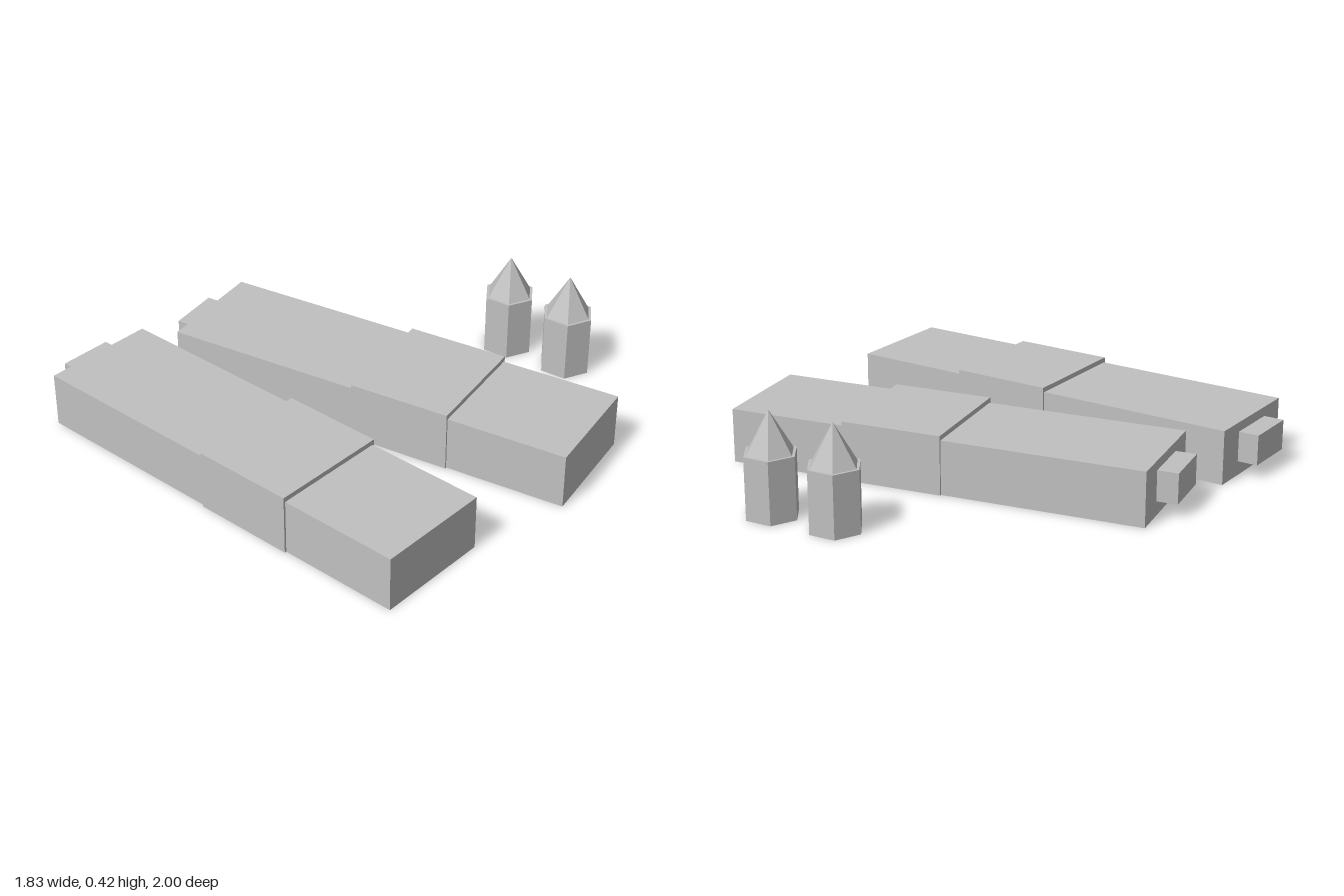
import * as THREE from 'three';

const grey = new THREE.MeshStandardMaterial({ color: 0xc0c0c0, flatShading: true });
grey.name = 'plain grey';

function addPart(parent, name, geometry, x, y, z) {
  const mesh = new THREE.Mesh(geometry, grey);
  mesh.name = name;
  mesh.position.set(x, y, z);
  parent.add(mesh);
}

// Long block with a raised band around it and a tab on its back end
function makeBlock(name, x, z, turn) {
  const block = new THREE.Group();
  block.name = name;
  const length = 1.75;
  addPart(block, 'body', new THREE.BoxGeometry(0.476, 0.225, length), 0, 0.1125, 0);
  addPart(block, 'band', new THREE.BoxGeometry(0.492, 0.245, 0.422), 0, 0.1225, 0.168);
  addPart(block, 'backTab', new THREE.BoxGeometry(0.222, 0.125, 0.085), 0, 0.1225, -length / 2 - 0.0425);
  block.position.set(x, 0, z);
  block.rotation.y = turn;
  return block;
}

// Six-sided post with a slightly narrower pointed tip
function makePost(name, x, z) {
  const post = new THREE.Group();
  post.name = name;
  addPart(post, 'shaft', new THREE.CylinderGeometry(0.11, 0.11, 0.255, 6), 0, 0.1275, 0);
  addPart(post, 'tip', new THREE.ConeGeometry(0.098, 0.167, 6, 1, true), 0, 0.3385, 0);
  post.position.set(x, 0, z);
  return post;
}

export function createModel() {
  const model = new THREE.Group();
  model.name = 'blocksAndPosts';
  model.add(
    makeBlock('rightBlock', -0.591, -0.035, -0.1047),
    makeBlock('leftBlock', 0.114, 0.105, 0.0873),
    makePost('backPost', 0.82, 0.22),
    makePost('frontPost', 0.82, 0.502),
  );
  return model;
}
